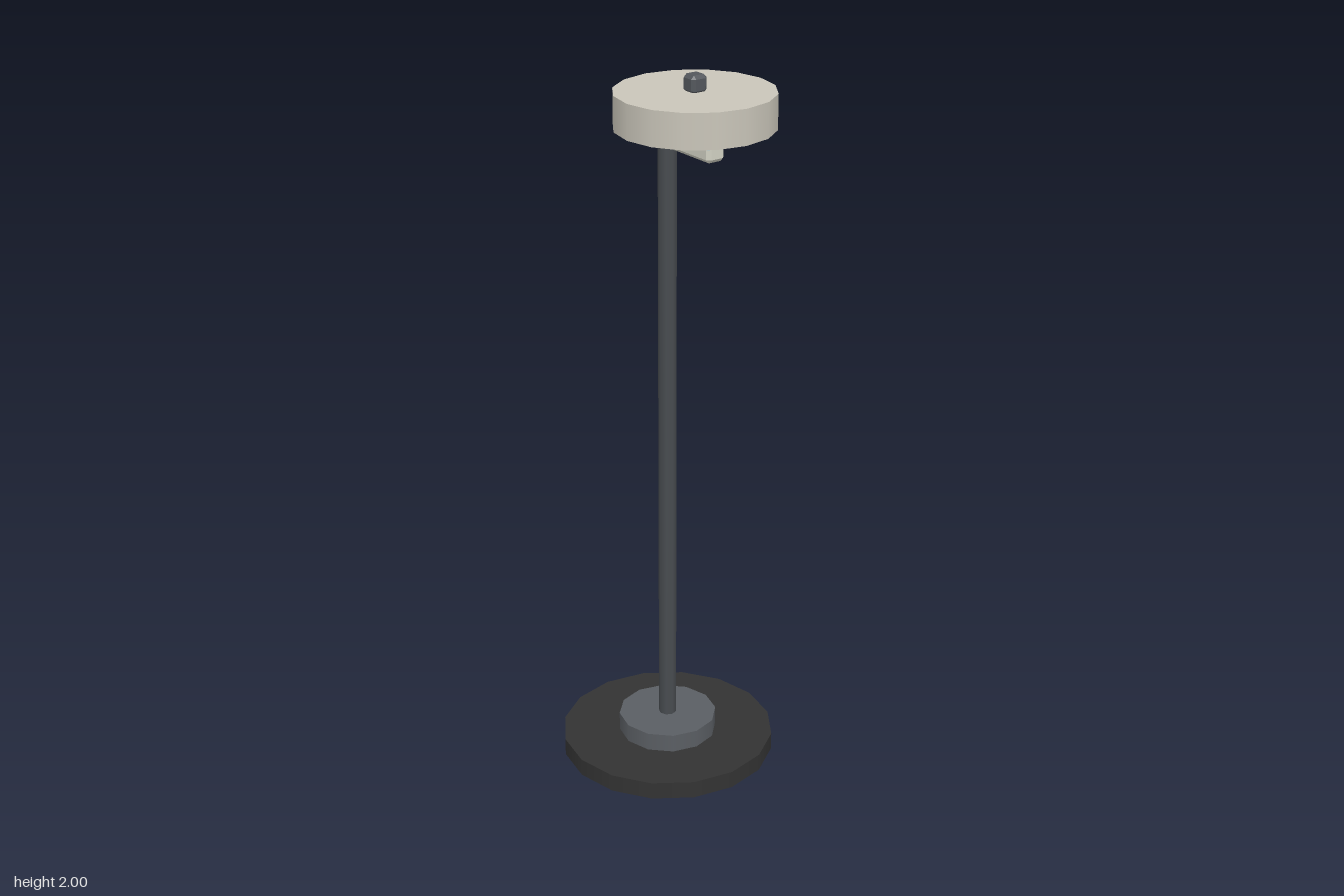
import * as THREE from 'three';
import { ConvexGeometry } from 'three/addons/geometries/ConvexGeometry.js';

const POLE_X = -0.012;
const HEAD_X = 0.104;

const material = (color) => new THREE.MeshStandardMaterial({ color });

// Box with every edge and corner cut off by a flat bevel
function chamferBox(w, h, d, c) {
  const points = [];
  for (const x of [-1, 1]) for (const y of [-1, 1]) for (const z of [-1, 1]) {
    const [a, b, e] = [x * w / 2, y * h / 2, z * d / 2];
    points.push(
      new THREE.Vector3(a, b - y * c, e - z * c),
      new THREE.Vector3(a - x * c, b, e - z * c),
      new THREE.Vector3(a - x * c, b - y * c, e));
  }
  return new ConvexGeometry(points);
}

export function createModel() {
  const lamp = new THREE.Group();
  lamp.name = 'floorLamp';

  function add(name, geometry, color, x, y) {
    const mesh = new THREE.Mesh(geometry, material(color));
    mesh.name = name;
    mesh.position.set(x, y, 0);
    lamp.add(mesh);
  }

  // Upright faceted disc from y0 to y1
  function disc(name, radius, y0, y1, sides, color, x) {
    add(name, new THREE.CylinderGeometry(radius, radius, y1 - y0, sides), color, x, (y0 + y1) / 2);
  }

  // Stand
  disc('base', 0.302, 0, 0.05, 16, 0x333333, POLE_X);
  disc('baseCollar', 0.139, 0.05, 0.102, 12, 0x5a5e63, POLE_X);
  disc('pole', 0.025, 0.102, 1.8, 8, 0x484c50, POLE_X);

  // Arm reaching out under the head
  add('arm', chamferBox(0.232, 0.052, 0.056, 0.01), 0xd2d2c4, 0.08, 1.818);

  // Lamp head
  disc('diffuser', 0.165, 1.851, 1.875, 16, 0xb4c8cc, HEAD_X);
  disc('shade', 0.209, 1.864, 1.957, 16, 0xc9c5b9, HEAD_X);
  add('knob', chamferBox(0.048, 0.048, 0.048, 0.009), 0x53575c, HEAD_X, 1.976);

  return lamp;
}
